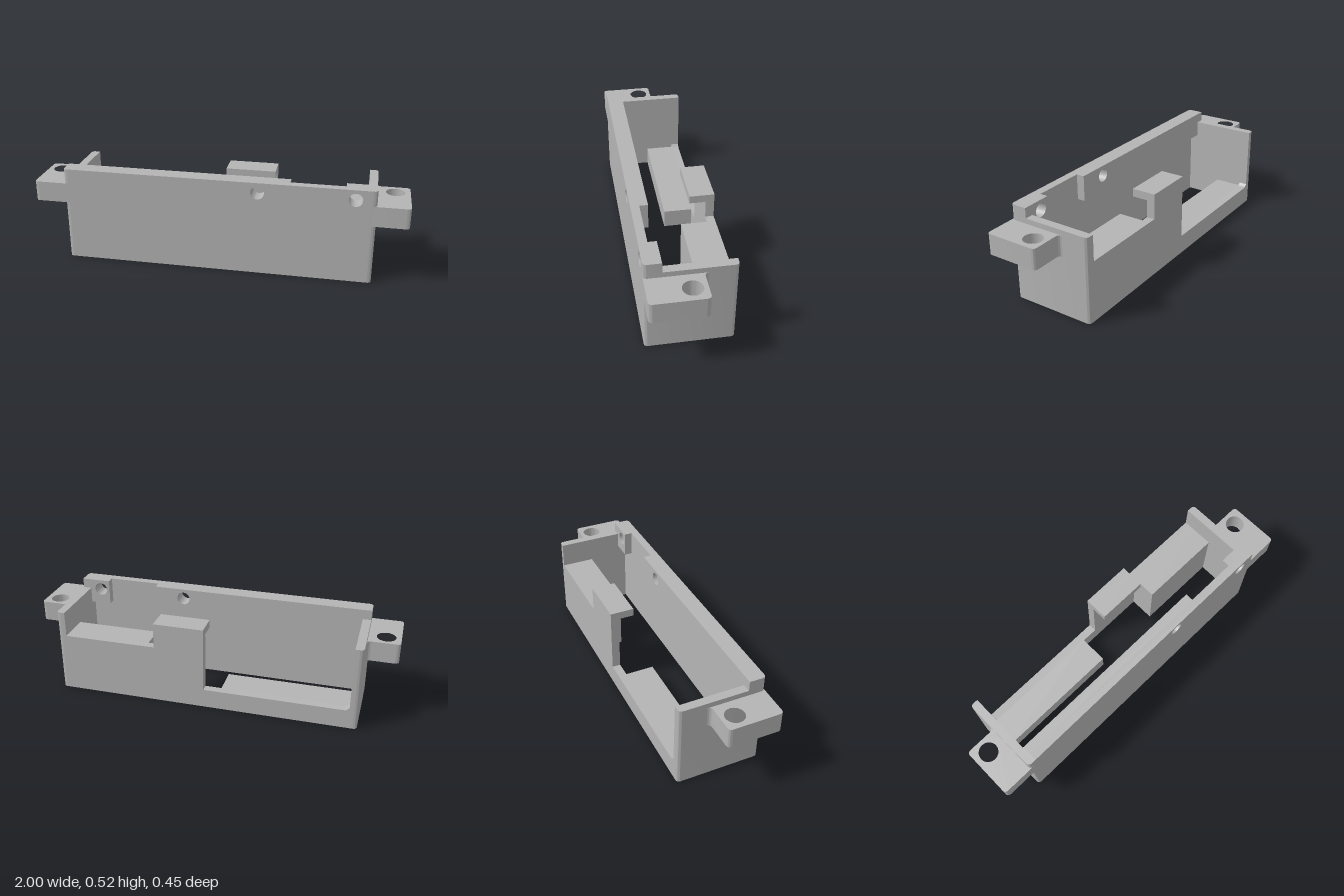
import * as THREE from 'three';
import { toCreasedNormals } from 'three/addons/utils/BufferGeometryUtils.js';

const X = 0.83, XI = 0.785;          // outer and inner half width
const Z = 0.225, ZI = 0.18;          // outer and inner half depth
const SIDE_TOP = 0.463, FRONT_TOP = 0.517;

// Closed outline from [x, y, cornerRadius] points
function outline(points) {
  const shape = new THREE.Shape();
  const n = points.length;
  points.forEach(([x, y, r = 0], i) => {
    const toward = ([px, py]) => {
      const d = Math.hypot(px - x, py - y);
      return [x + (px - x) * r / d, y + (py - y) * r / d];
    };
    const a = toward(points[(i + n - 1) % n]);
    const b = toward(points[(i + 1) % n]);
    if (i === 0) shape.moveTo(...a); else shape.lineTo(...a);
    if (r) shape.quadraticCurveTo(x, y, ...b);
  });
  shape.closePath();
  return shape;
}

const rect = (x0, x1, y0, y1) => outline([[x0, y0], [x1, y0], [x1, y1], [x0, y1]]);

function drill(shape, x, y, r) {
  const hole = new THREE.Path();
  hole.absarc(x, y, r, 0, Math.PI * 2, true);
  shape.holes.push(hole);
  return shape;
}

export function createModel() {
  const group = new THREE.Group();
  const grey = new THREE.MeshStandardMaterial({ color: 0xb4b4b4 });
  grey.name = 'grey plastic';

  const add = (name, geometry) => {
    const mesh = new THREE.Mesh(geometry, grey);
    mesh.name = name;
    group.add(mesh);
  };
  const extrude = (shape, depth) => new THREE.ExtrudeGeometry(shape, { depth, bevelEnabled: false, curveSegments: 16 });
  // Upright panel drawn in x, y
  const panel = (name, shape, z0, z1) =>
    add(name, toCreasedNormals(extrude(shape, z1 - z0).translate(0, 0, z0), 0.6));
  // Slab drawn in x, -z
  const slab = (name, shape, y0, y1) =>
    add(name, toCreasedNormals(extrude(shape, y1 - y0).rotateX(-Math.PI / 2).translate(0, y0, 0), 0.6));
  const box = (name, x0, x1, y0, y1, z0, z1) =>
    add(name, new THREE.BoxGeometry(x1 - x0, y1 - y0, z1 - z0)
      .translate((x0 + x1) / 2, (y0 + y1) / 2, (z0 + z1) / 2));

  // Front wall with two screw holes, thickened along the top
  const holeY = 0.463, holeR = 0.036, holes = [0.22, 0.722];
  const front = rect(-XI, XI, 0, FRONT_TOP);
  holes.forEach(x => drill(front, x, holeY, holeR));
  panel('frontWall', front, ZI, Z);
  panel('longLip', drill(rect(-XI, 0.385, 0.377, FRONT_TOP), holes[0], holeY, holeR), 0.136, ZI);
  panel('shortLip', drill(rect(0.67, XI, 0.377, FRONT_TOP), holes[1], holeY, holeR), 0.136, ZI);

  // Back wall: low sill, raised tab and medium section
  panel('backWall', outline([
    [-XI, 0], [XI, 0], [XI, 0.325], [0.275, 0.325], [0.275, SIDE_TOP],
    [0, SIDE_TOP], [0, 0.105], [-XI + 0.018, 0.105, 0.012], [-XI, 0.123],
  ]), -Z, -ZI);
  box('tabHook', 0, 0.275, 0.42, SIDE_TOP, -ZI, -0.094);

  // Inner blocks behind the back wall
  box('lowShelf', -XI, -0.09, 0, 0.105, -ZI, -0.022);
  box('tallBlock', 0.32, XI, 0, 0.325, -ZI, -0.043);

  // Side walls, lip ends and drilled mounting ears
  for (const [side, s] of [['left', 1], ['right', -1]]) {
    slab(side + 'SideWall', outline([
      [s * XI, -Z], [s * X, -Z, 0.022], [s * X, Z, 0.022], [s * XI, Z],
    ]), 0, SIDE_TOP);
    slab(side + 'LipEnd', outline([
      [s * XI, -Z], [s * X, -Z, 0.022], [s * X, -0.136], [s * XI, -0.136],
    ]), SIDE_TOP, FRONT_TOP);
    slab(side + 'MountingEar', drill(outline([
      [s * 0.8, -Z], [s, -Z, 0.022], [s, 0.06, 0.022],
      [s * X, 0.06, 0.024], [s * X, 0.086], [s * 0.8, 0.086],
    ]), s * 0.922, -0.012, 0.05), 0.325, 0.435);
  }
  return group;
}
